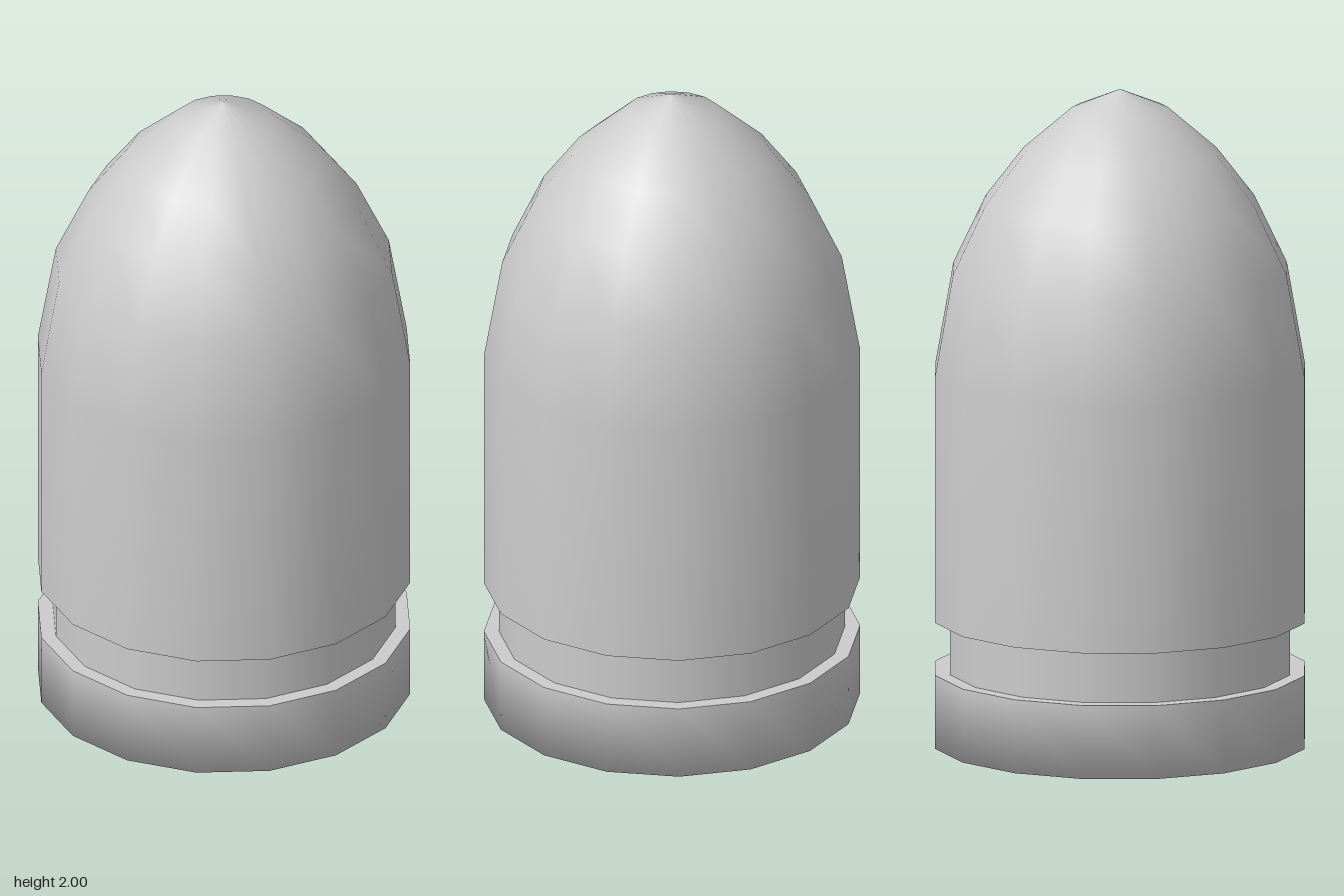
import * as THREE from 'three';

const SIDES = 16;
const R = 0.565;      // outer radius
const GROOVE = 0.52;  // radius inside the groove
const HOLE = 0.35;    // radius of the base recess

export function createModel() {
  const group = new THREE.Group();
  group.name = 'bullet';
  const material = new THREE.MeshStandardMaterial({ color: 0xcccccc });

  // Each smooth band is its own lathe, so edges between bands stay sharp.
  // Profiles run counter-clockwise: along the underside, up the outside, in to the axis.
  const addBand = (name, profile) => {
    const points = profile.map(([r, y]) => new THREE.Vector2(r, y));
    const mesh = new THREE.Mesh(new THREE.LatheGeometry(points, SIDES), material);
    mesh.name = name;
    group.add(mesh);
  };

  // Recess in the underside
  addBand('recessCeiling', [[0, 0.07], [HOLE, 0.07]]);
  addBand('recessWall', [[HOLE, 0.07], [HOLE, 0]]);

  // Base ring, shaded softly from underside to wall
  addBand('baseRing', [[HOLE, 0], [R, 0], [R, 0.225]]);

  // Groove between base ring and body
  addBand('grooveLowerLedge', [[R, 0.225], [GROOVE, 0.225]]);
  addBand('grooveWall', [[GROOVE, 0.225], [GROOVE, 0.385]]);
  addBand('grooveUpperLedge', [[GROOVE, 0.385], [R, 0.385]]);

  // Straight body running into the curved nose
  addBand('bodyAndNose', [
    [R, 0.385], [R, 1.14], [0.51, 1.45], [0.41, 1.66],
    [0.295, 1.81], [0.145, 1.94], [0, 2],
  ]);

  return group;
}
